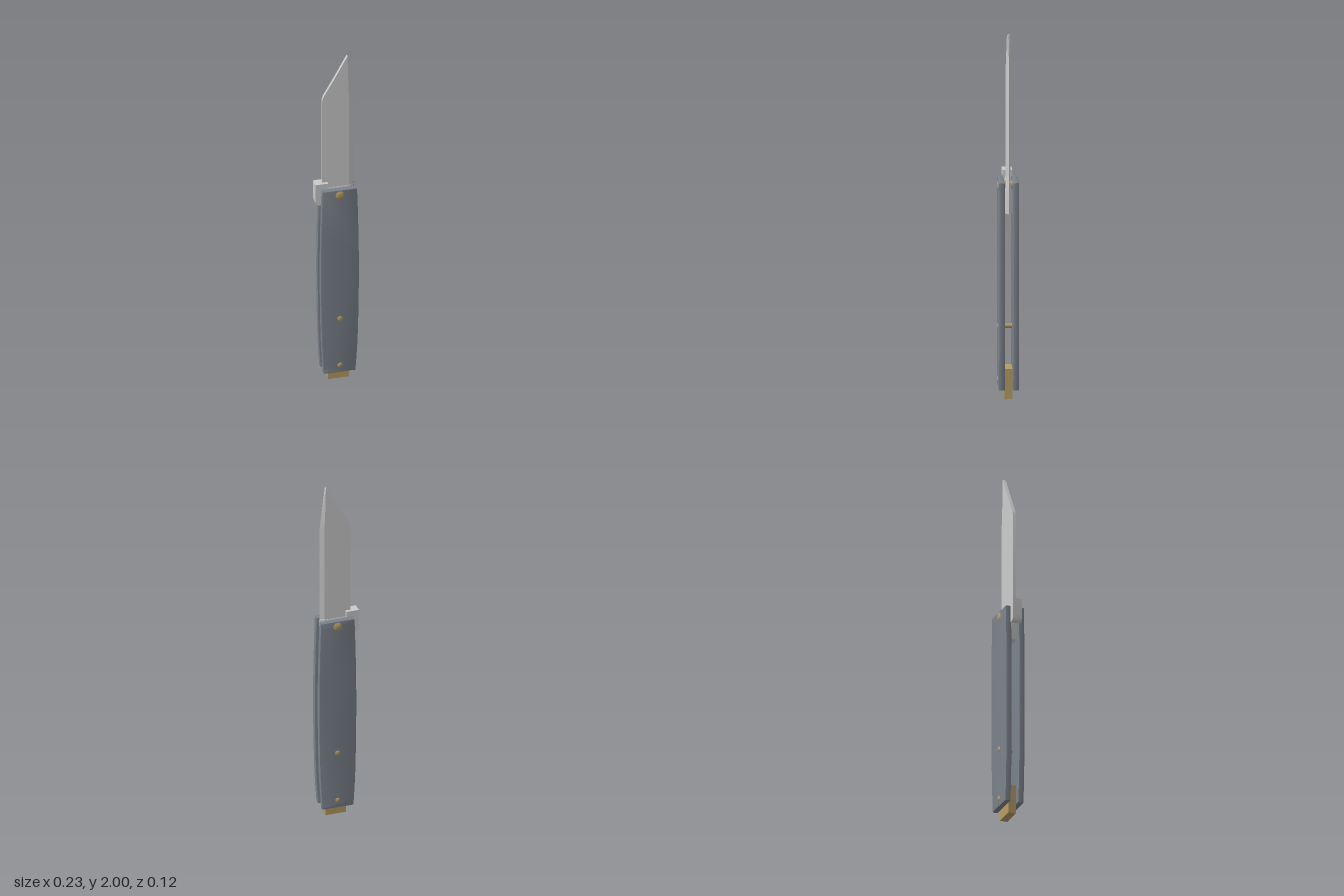
import * as THREE from 'three';
import { toCreasedNormals } from 'three/addons/utils/BufferGeometryUtils.js';

const steel = new THREE.MeshStandardMaterial({ color: 0xcccccc });
const slate = new THREE.MeshStandardMaterial({ color: 0x7b828b });
const brass = new THREE.MeshStandardMaterial({ color: 0xb59b62 });

function add(group, name, geometry, material) {
  const mesh = new THREE.Mesh(geometry, material);
  mesh.name = name;
  group.add(mesh);
  return mesh;
}

// Extrude a shape along z, from z0 to z1, with a small rounded edge
function slab(shape, z0, z1, bevel) {
  const g = new THREE.ExtrudeGeometry(shape, {
    depth: z1 - z0 - 2 * bevel, bevelEnabled: bevel > 0, bevelSize: bevel,
    bevelThickness: bevel, bevelOffset: -bevel, bevelSegments: 2, curveSegments: 10,
  });
  g.translate(0, 0, z0 + bevel);
  return toCreasedNormals(g, 0.6);
}

// Stack wedge sections [y, spine x, edge x, half thickness, bevel width] up the blade
function loftBlade(rows) {
  const pos = [], index = [], n = 5;
  for (const [y, xs, xe, t, b] of rows) {
    pos.push(xs, y, t, xe - b, y, t, xe, y, 0, xe - b, y, -t, xs, y, -t);
  }
  for (let r = 0; r < rows.length - 1; r++) {
    for (let i = 0; i < n; i++) {
      const a = r * n + i, b = r * n + (i + 1) % n;
      index.push(a, b, b + n, a, b + n, a + n);
    }
  }
  const top = (rows.length - 1) * n;
  for (let i = 1; i < n - 1; i++) {
    index.push(0, i + 1, i, top, top + i, top + i + 1);
  }
  const g = new THREE.BufferGeometry();
  g.setAttribute('position', new THREE.Float32BufferAttribute(pos, 3));
  g.setIndex(index);
  return toCreasedNormals(g, 0.3);
}

// Round pin along z with a low domed head at each end
function pinGeometry(radius, shaft) {
  const profile = [
    [0, -0.06], [radius * 0.6, -0.058], [radius, -0.053], [radius, -0.05], [shaft, -0.049],
    [shaft, 0.049], [radius, 0.05], [radius, 0.053], [radius * 0.6, 0.058], [0, 0.06],
  ].map(([x, y]) => new THREE.Vector2(x, y));
  return toCreasedNormals(new THREE.LatheGeometry(profile, 24).rotateX(Math.PI / 2), 0.7);
}

export function createModel() {
  const model = new THREE.Group();
  model.name = 'foldingKnife';

  // Two gently bellied handle scales
  const scale = new THREE.Shape();
  scale.moveTo(-0.079, 0.055);
  scale.lineTo(0.095, 0.055);
  scale.splineThru([[0.108, 0.28], [0.114, 0.65], [0.111, 0.95], [0.104, 1.195]]
    .map(([x, y]) => new THREE.Vector2(x, y)));
  scale.lineTo(-0.085, 1.195);
  scale.splineThru([[-0.092, 0.95], [-0.095, 0.65], [-0.09, 0.28], [-0.079, 0.055]]
    .map(([x, y]) => new THREE.Vector2(x, y)));
  add(model, 'frontScale', slab(scale, 0.022, 0.053, 0.003), slate);
  add(model, 'backScale', slab(scale, -0.053, -0.022, 0.003), slate);

  // Blade with a slanted back, and its thicker tang inside the handle
  add(model, 'blade', loftBlade([
    [1.15, -0.077, 0.095, 0.009, 0.025],
    [1.74, -0.077, 0.095, 0.009, 0.025],
    [1.765, -0.07, 0.093, 0.009, 0.024],
    [1.87, -0.01, 0.081, 0.009, 0.016],
    [2.0, 0.06, 0.065, 0.009, 0.003],
  ]), steel);
  add(model, 'tang', loftBlade([
    [1.02, -0.05, 0.09, 0.021, 0.03],
    [1.12, -0.07, 0.097, 0.021, 0.03],
    [1.195, -0.077, 0.097, 0.01, 0.025],
  ]), steel);

  // Hooked thumb lever behind the blade
  const lever = new THREE.Shape();
  lever.moveTo(-0.118, 1.23);
  lever.lineTo(-0.118, 1.12);
  lever.quadraticCurveTo(-0.116, 1.1, -0.1, 1.1);
  lever.lineTo(-0.086, 1.1);
  lever.lineTo(-0.086, 1.196);
  lever.lineTo(-0.048, 1.196);
  lever.lineTo(-0.048, 1.23);
  add(model, 'thumbLever', slab(lever, -0.026, 0.026, 0), steel);

  // Brass spacer at the butt
  const spacer = new THREE.BoxGeometry(0.115, 0.165, 0.042);
  add(model, 'buttSpacer', spacer, brass).position.set(0.01, 0.0825, 0);

  // Pivot with its washers, and the two handle pins
  for (const [name, y, r, shaft] of [
    ['pivot', 1.165, 0.024, 0.018],
    ['middlePin', 0.39, 0.015, 0.012],
    ['buttPin', 0.1, 0.014, 0.011],
  ]) {
    add(model, name, pinGeometry(r, shaft), brass).position.set(0.01, y, 0);
  }
  for (const side of [-1, 1]) {
    const washer = new THREE.CylinderGeometry(0.023, 0.023, 0.01, 24).rotateX(Math.PI / 2);
    add(model, 'pivotWasher', washer, brass).position.set(0.01, 1.165, side * 0.018);
  }
  return model;
}
